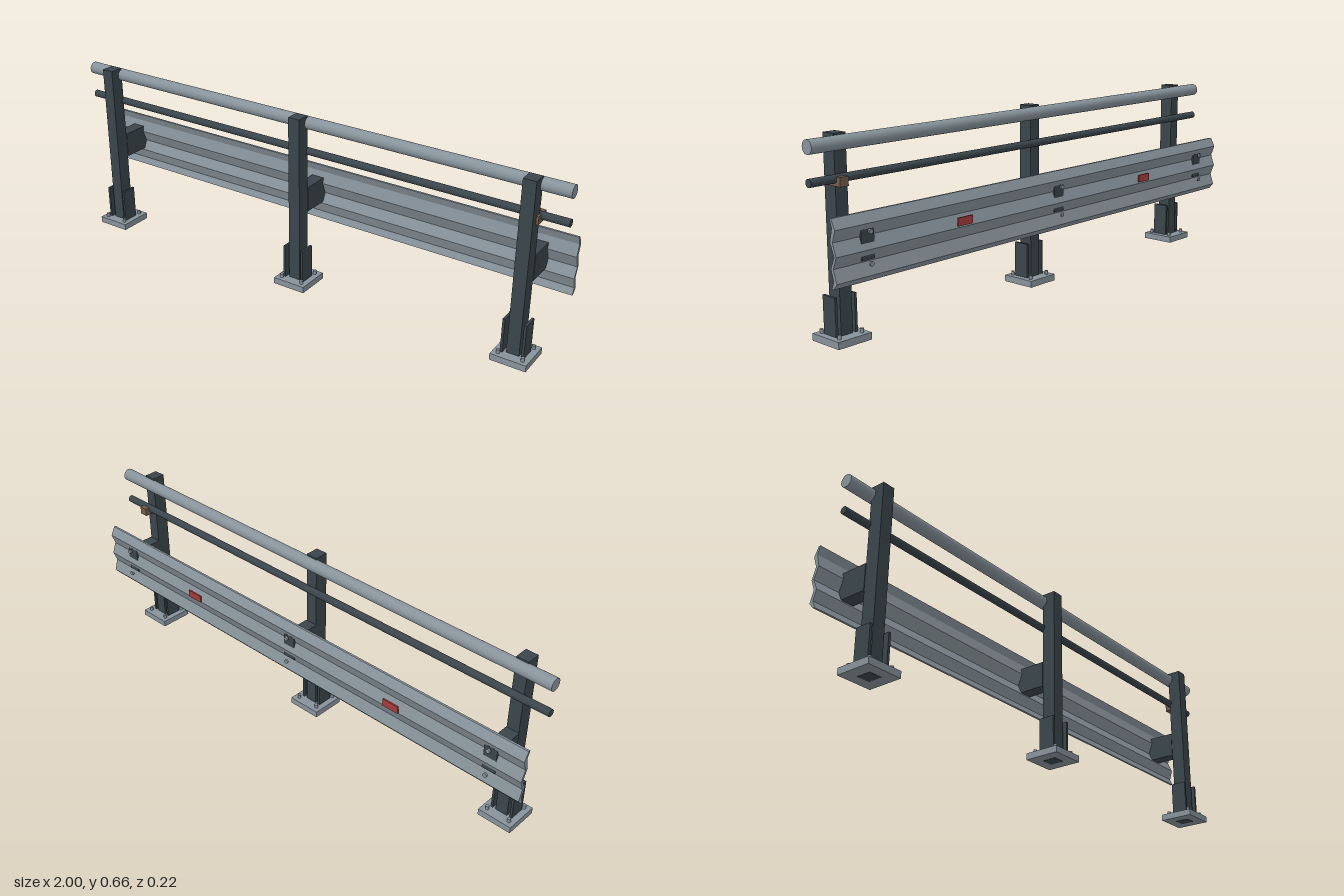
import * as THREE from 'three';

const material = (name, color) => {
  const m = new THREE.MeshStandardMaterial({ color });
  m.name = name;
  return m;
};

export function createModel() {
  const steel = material('galvanised steel', 0x87929a);
  const dark = material('dark painted steel', 0x3a454b);
  const wood = material('brown block', 0x715c4b);
  const red = material('red reflector', 0xa23c3c);

  const model = new THREE.Group();
  model.name = 'guardrail';

  const add = (parent, name, geometry, mat, x, y, z) => {
    const mesh = new THREE.Mesh(geometry, mat);
    mesh.name = name;
    mesh.position.set(x, y, z);
    parent.add(mesh);
    return mesh;
  };
  // box given by its centre x, width and its y and z ranges
  const box = (parent, name, mat, x, w, y0, y1, z0, z1) =>
    add(parent, name, new THREE.BoxGeometry(w, y1 - y0, z1 - z0), mat,
      x, (y0 + y1) / 2, (z0 + z1) / 2);

  // corrugated beam: closed cross-section (z, y) extruded along x
  const inner = [[-0.074, 0.433], [-0.084, 0.404], [-0.073, 0.361], [-0.09, 0.318],
    [-0.073, 0.281], [-0.084, 0.243], [-0.074, 0.218]];
  const outer = [[-0.082, 0.218], [-0.099, 0.238], [-0.085, 0.281], [-0.1, 0.319],
    [-0.085, 0.361], [-0.099, 0.4], [-0.082, 0.433]];
  const section = new THREE.Shape([...inner, ...outer].map(([z, y]) => new THREE.Vector2(-z, y)));
  const beam = new THREE.ExtrudeGeometry(section, { depth: 2, bevelEnabled: false });
  beam.translate(0, 0, -1).rotateY(Math.PI / 2);
  add(model, 'corrugatedBeam', beam, steel, 0, 0, 0);

  // round rails
  const rail = (name, r, y, mat) =>
    add(model, name, new THREE.CylinderGeometry(r, r, 2, 24).rotateZ(Math.PI / 2), mat, 0, y, 0.018);
  rail('topRail', 0.023, 0.631, steel);
  rail('lowerRail', 0.0135, 0.523, dark);

  // posts with foot, fins, spacer and bolts
  for (const x of [-0.875, 0, 0.875]) {
    const post = new THREE.Group();
    post.name = 'postAssembly';
    post.position.x = x;
    model.add(post);

    box(post, 'post', dark, 0, 0.046, 0, 0.659, 0.023, 0.075);
    box(post, 'basePlate', steel, 0, 0.13, 0.001, 0.025, -0.017, 0.113);
    box(post, 'spacerBlock', dark, 0, 0.05, 0.287, 0.382, -0.093, 0.023);

    for (const side of [-1, 1]) {
      box(post, 'footFin', dark, side * 0.038, 0.009, 0.025, 0.152, 0.023, 0.083);
      for (const z of [0.005, 0.093])
        add(post, 'anchorBolt', new THREE.CylinderGeometry(0.0065, 0.0065, 0.014, 10), steel,
          side * 0.044, 0.032, z);
    }
    for (const y of [0.277, 0.377])
      add(post, 'beamBolt', new THREE.CylinderGeometry(0.008, 0.008, 0.007, 10).rotateX(Math.PI / 2),
        steel, 0, y, -0.107);
  }

  // reflectors on the back of the beam
  for (const x of [-0.485, 0.485])
    box(model, 'reflector', red, x, 0.065, 0.327, 0.355, -0.112, -0.106);

  // small block under the lower rail beside the left post
  box(model, 'railBlock', wood, 0.89, 0.032, 0.501, 0.531, -0.011, 0.049);

  return model;
}
